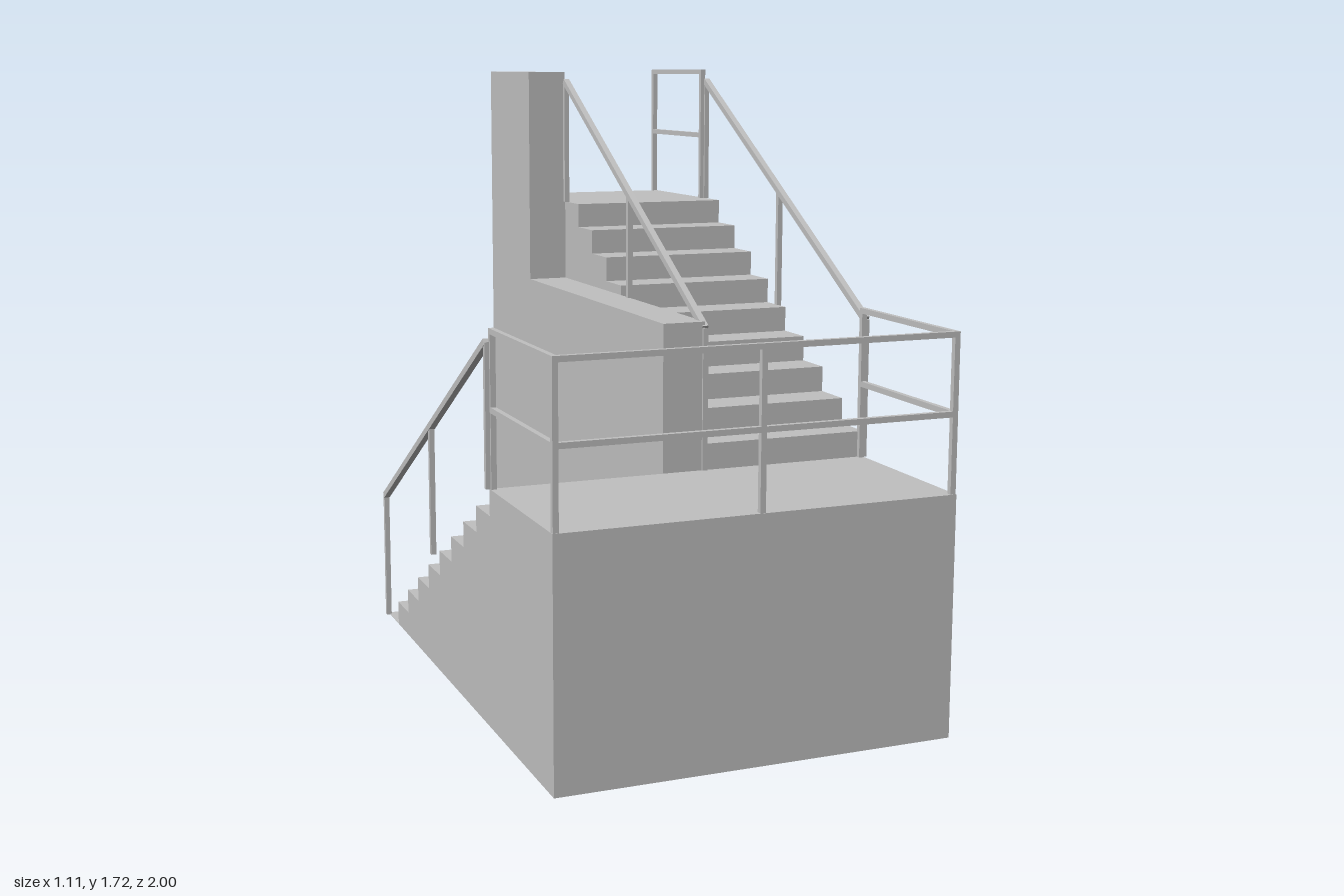
import * as THREE from 'three';

const concrete = new THREE.MeshStandardMaterial({ color: 0xc0c0c0 });
concrete.name = 'light grey concrete';

const HALF = 0.545, WALL = 0.06, BAR = 0.015;
const LANDING = 0.65, STEPS = 9, RISE = LANDING / STEPS, RUN = 0.122;
const EDGE = 0.51, END = EDGE - STEPS * RUN, BACK = -0.985;
const SLOPE = LANDING / (EDGE - END);

export function createModel() {
  const model = new THREE.Group();
  model.name = 'staircase';

  const add = (name, geometry) => {
    const mesh = new THREE.Mesh(geometry, concrete);
    mesh.name = name;
    model.add(mesh);
    return mesh;
  };

  // Side profile given as [z, y] points, extruded from x0 to x1
  const slab = (name, points, x0, x1) => {
    const shape = new THREE.Shape(points.map(([z, y]) => new THREE.Vector2(-z, y)));
    const geometry = new THREE.ExtrudeGeometry(shape, { depth: x1 - x0, bevelEnabled: false });
    add(name, geometry.rotateY(Math.PI / 2).translate(x0, 0, 0));
  };

  // Square bar between two points
  const bar = (name, a, b, size = BAR) => {
    const from = new THREE.Vector3(...a), to = new THREE.Vector3(...b);
    const mesh = add(name, new THREE.BoxGeometry(size, size, from.distanceTo(to)));
    mesh.position.copy(from).add(to).multiplyScalar(0.5);
    mesh.lookAt(to);
  };

  // Stepped edge, rising or falling away from the landing
  const steps = (direction) => {
    const points = [];
    for (let i = 0; i < STEPS; i++) {
      const y = Math.max(0.002, LANDING + direction * RISE * (i + 1));
      points.push([EDGE - i * RUN, y], [EDGE - (i + 1) * RUN, y]);
    }
    return points;
  };

  // Masonry
  slab('landing', [[1, 0], [1, LANDING], [EDGE, LANDING], [EDGE, 0]], -HALF, HALF);
  slab('lowerFlight', [[EDGE, 0], ...steps(-1), [END, 0]], -HALF, -WALL);
  const rising = steps(1);
  rising.pop();
  slab('upperFlight', [[EDGE, 0], ...rising, [BACK, LANDING * 2], [BACK, 0]], WALL, HALF);
  slab('dividingWall',
    [[EDGE, 0], [EDGE, 1.055], [END, 1.055], [END, 1.71], [BACK, 1.71], [BACK, 0]], -WALL, WALL);

  // Sloping handrails, each on three posts
  const flightRail = (name, x, direction) => {
    const railY = (z) => 1.035 + direction * SLOPE * (EDGE - z);
    const z0 = EDGE - 0.002, z1 = END + 0.008, mid = -0.035;
    bar(name + 'Handrail', [x, railY(z0), z0], [x, railY(z1), z1], 0.018);
    const feet = [[z0, LANDING], [mid, railY(mid) - 0.375],
      [z1, direction > 0 ? LANDING * 2 : 0]];
    for (const [z, y] of feet) bar(name + 'Post', [x, y, z], [x, railY(z), z]);
  };
  flightRail('outerUpperFlight', 0.548, 1);
  flightRail('innerUpperFlight', WALL + 0.001, 1);
  flightRail('lowerFlight', -0.548, -1);

  // Landing guard rail on three sides
  const gx = 0.536, gz = 0.991;
  for (const [x, z] of [[-gx, EDGE + 0.005], [-gx, gz], [0, gz], [gx, gz], [gx, EDGE + 0.005]]) {
    bar('landingPost', [x, LANDING, z], [x, 1.062, z]);
  }
  for (const y of [1.062, 0.858]) {
    bar('landingFrontRail', [-gx - BAR / 2, y, gz], [gx + BAR / 2, y, gz]);
    for (const x of [-gx, gx]) bar('landingSideRail', [x, y, EDGE], [x, y, gz]);
  }

  // Top platform guard rail on the outer side
  const pz0 = END + 0.002, pz1 = -0.991;
  for (const z of [pz0, pz1]) bar('platformPost', [gx, LANDING * 2 - 0.002, z], [gx, 1.712, z]);
  for (const y of [1.71, 1.505]) bar('platformRail', [gx, y, pz0 + BAR / 2], [gx, y, pz1 - BAR / 2]);

  return model;
}
